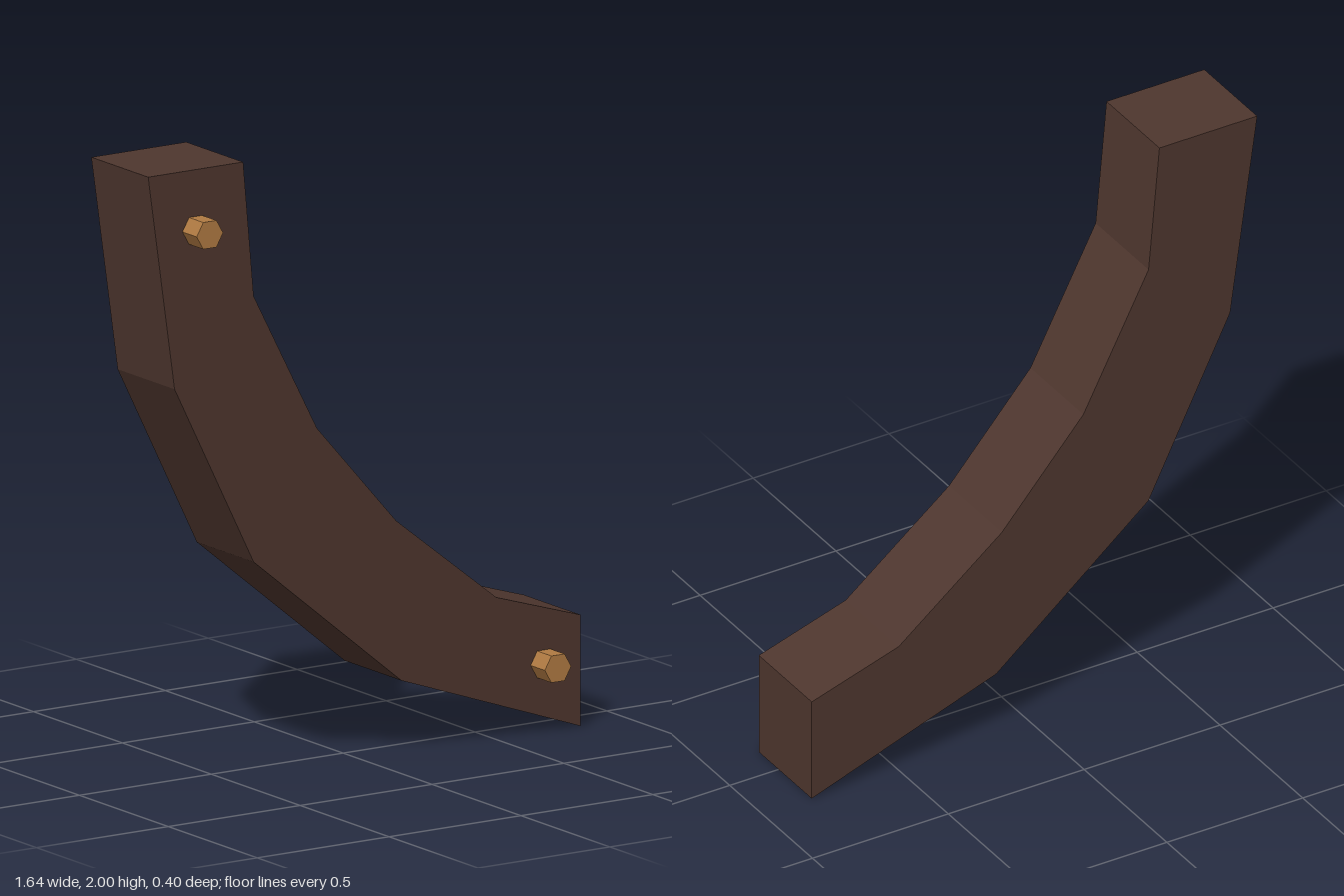
import * as THREE from 'three';

export function createModel() {
  const model = new THREE.Group();
  const darkWood = new THREE.MeshStandardMaterial({ color: 0x4e362e });
  darkWood.name = 'darkWood';
  const pegWood = new THREE.MeshStandardMaterial({ color: 0xb07a42 });
  pegWood.name = 'pegWood';

  // Curved brace: faceted outline, outer edge down then inner edge back up
  const outline = [
    [-0.82, 2], [-0.72, 1.3], [-0.42, 0.7], [0.14, 0.24], [0.82, 0],
    [0.82, 0.36], [0.5, 0.46], [0.12, 0.76], [-0.18, 1.1], [-0.42, 1.56], [-0.46, 2],
  ].map(([x, y]) => new THREE.Vector2(x, y));
  const braceGeometry = new THREE.ExtrudeGeometry(new THREE.Shape(outline), {
    depth: 0.32, bevelEnabled: false,
  });
  const brace = new THREE.Mesh(braceGeometry, darkWood);
  brace.name = 'curvedBrace';
  brace.position.z = -0.2;
  model.add(brace);

  // Hexagonal pegs standing out of the front face, one at each end
  const pegGeometry = new THREE.CylinderGeometry(0.05, 0.05, 0.08, 6)
    .rotateY(Math.PI / 6)
    .rotateX(Math.PI / 2)
    .toNonIndexed();
  pegGeometry.computeVertexNormals();
  for (const [name, x, y] of [['upperPeg', -0.64, 1.805], ['lowerPeg', 0.68, 0.222]]) {
    const peg = new THREE.Mesh(pegGeometry, pegWood);
    peg.name = name;
    peg.position.set(x, y, 0.16);
    model.add(peg);
  }

  return model;
}
